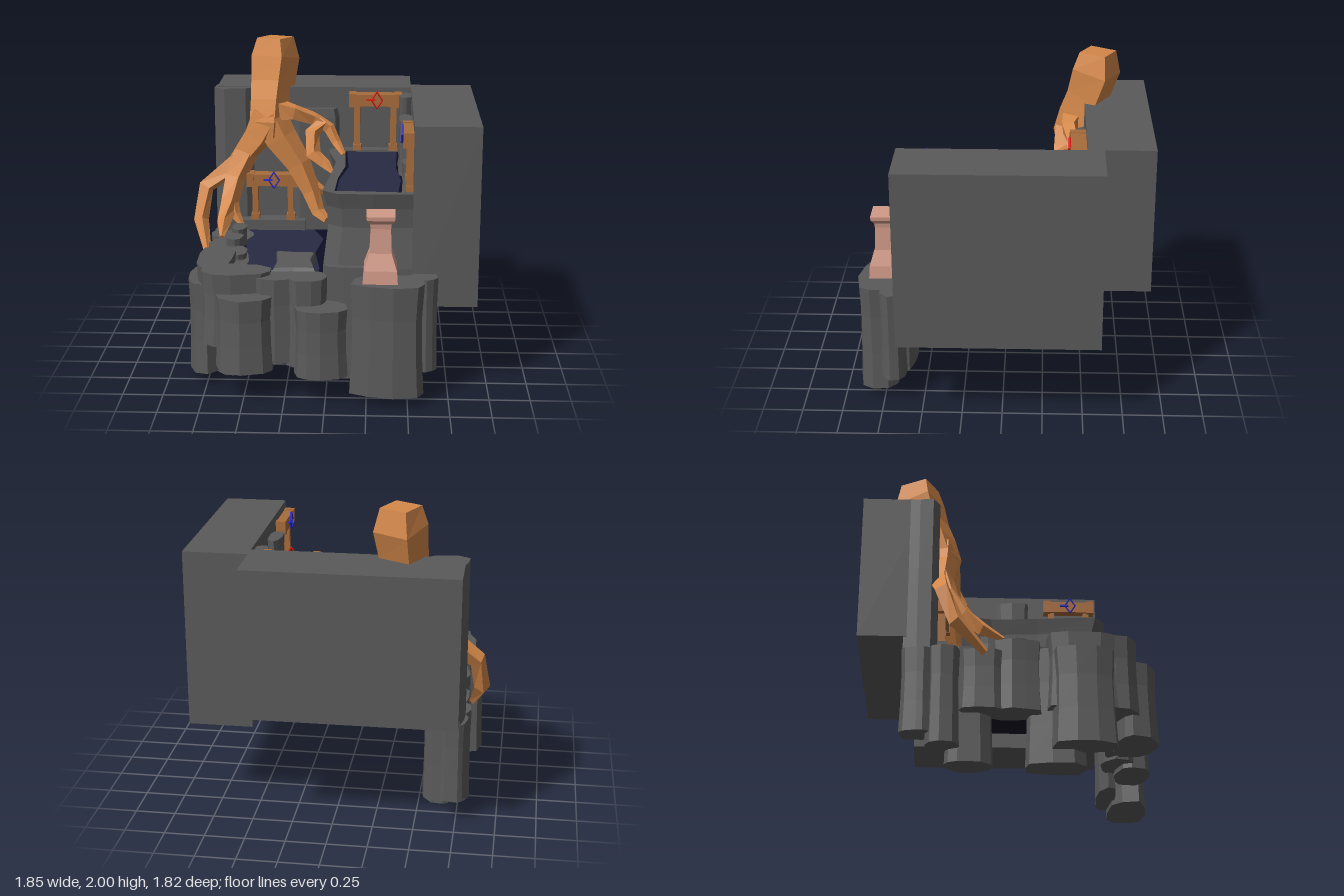
import * as THREE from 'three';

const paint = (color) => new THREE.MeshStandardMaterial({ color, flatShading: true });

// Skin a stack of equal-sized rings (bottom to top); closed rings get end caps
function loft(rings, closed = true) {
  const n = rings[0].length, pos = [], idx = [];
  const mid = (r) => r.reduce((s, p) => s.add(p), new THREE.Vector3()).divideScalar(n);
  const last = rings.length - 1;
  [...rings, [mid(rings[0])], [mid(rings[last])]].flat().forEach((p) => pos.push(p.x, p.y, p.z));
  const c0 = rings.length * n;
  for (let i = 0; i < (closed ? n : n - 1); i++) {
    const j = (i + 1) % n;
    for (let k = 0; k < last; k++) {
      const a = k * n + i, b = k * n + j;
      idx.push(a, a + n, b, a + n, b + n, b);
    }
    if (closed) idx.push(c0, i, j, c0 + 1, last * n + j, last * n + i);
  }
  const g = new THREE.BufferGeometry();
  g.setAttribute('position', new THREE.Float32BufferAttribute(pos, 3));
  g.setIndex(idx);
  const flat = g.toNonIndexed();
  flat.computeVertexNormals();
  return flat;
}

// Irregular rock column: rough squarish outline, slight waist
function rockGeometry(cx, cz, rx, rz, y0, y1, seed) {
  let s = seed * 7919 + 13;
  const rnd = () => (s = (s * 16807) % 2147483647) / 2147483647;
  for (let i = 0; i < 5; i++) rnd();
  const sides = 10;
  const soft = (v) => Math.sign(v) * Math.abs(v) ** 0.8;
  const outline = Array.from({ length: sides }, (_, i) => {
    const a = ((i + 0.6 * rnd()) / sides) * Math.PI * 2, r = 0.9 + 0.18 * rnd();
    return [soft(Math.cos(a)) * r, soft(Math.sin(a)) * r];
  });
  return loft([[0, 1.02], [0.35, 0.96], [0.7, 0.94], [1, 1]].map(([t, k]) =>
    outline.map(([x, z]) => new THREE.Vector3(cx + x * rx * k, y0 + (y1 - y0) * t, cz + z * rz * k))));
}

// Four-sided limb along points [x, y, z, radius]
function limbGeometry(points) {
  const p = points.map(([x, y, z]) => new THREE.Vector3(x, y, z));
  const ref = new THREE.Vector3(-0.45, 0, 0.89);
  return loft(p.map((c, i) => {
    const t = p[Math.min(i + 1, p.length - 1)].clone().sub(p[Math.max(i - 1, 0)]).normalize();
    const u = ref.clone().addScaledVector(t, -ref.dot(t)).normalize();
    const v = u.clone().cross(t);
    return [0, 1, 2, 3].map((k) => {
      const a = Math.PI / 4 + (k * Math.PI) / 2, r = points[i][3];
      return c.clone().addScaledVector(u, Math.cos(a) * r).addScaledVector(v, Math.sin(a) * r);
    });
  }));
}

// Level outline at height y, scaled about its own centre point
const level = (outline, y, k = 1, cx = 0, cz = 0) =>
  outline.map(([x, z]) => new THREE.Vector3(cx + (x - cx) * k, y, cz + (z - cz) * k));

export function createModel() {
  const root = new THREE.Group();
  root.name = 'rockPools';
  const stone = paint(0x5a5a5a), wood = paint(0xa86c3c), bark = paint(0xd4884a);
  const water = paint(0x282a43), depth = paint(0x0e0e24), pink = paint(0xd29b89);
  const red = paint(0xe01c14), blue = paint(0x2c2cd0);

  const add = (name, geometry, material, parent = root) => {
    const m = new THREE.Mesh(geometry, material);
    m.name = name;
    parent.add(m);
    return m;
  };
  // Box given by its limits
  const box = (name, x0, x1, y0, y1, z0, z1, material, parent) => {
    const g = new THREE.BoxGeometry(x1 - x0, y1 - y0, z1 - z0);
    g.translate((x0 + x1) / 2, (y0 + y1) / 2, (z0 + z1) / 2);
    return add(name, g, material, parent);
  };
  // Flat water surface from an outline of [x, z]
  const sheet = (name, outline, y, material) => {
    const g = new THREE.ShapeGeometry(new THREE.Shape(outline.map(([x, z]) => new THREE.Vector2(x, -z))));
    g.rotateX(-Math.PI / 2).translate(0, y, 0);
    add(name, g, material);
  };

  // Cliff blocks
  box('backCliff', -0.77, 0.52, 0.75, 1.68, -0.91, -0.5, stone);
  box('sideCliff', 0.52, 0.92, 0.56, 1.68, -0.6, 0.635, stone);
  box('cliffFoot', -0.62, 0.52, 0.64, 0.75, -0.53, -0.5, stone);

  // Rock faces standing out of the back cliff
  const corner = [[-0.52, -0.51], [-0.58, -0.455], [-0.72, -0.44], [-0.79, -0.48], [-0.785, -0.56], [-0.765, -0.64]];
  add('cornerRock', loft([level(corner, 0.66), level(corner, 1.2), level(corner, 1.675)]), stone);
  const bulge = [[0.05, -0.51], [0.02, -0.45], [-0.22, -0.44], [-0.27, -0.51]];
  add('bulgeRock', loft([level(bulge, 0.7), level(bulge, 1.48), level(bulge, 1.54, 0.9, -0.1, -0.51)]), stone);

  // Hanging rock columns: x, z, radius x, radius z, bottom, top
  [
    [-0.49, 0.74, 0.185, 0.125, 0.19, 0.66],
    [-0.03, 0.77, 0.165, 0.105, 0.17, 0.6],
    [0.38, 0.785, 0.23, 0.12, 0.07, 0.77],
    [0.59, 0.68, 0.085, 0.075, 0.18, 0.77],
    [-0.12, 0.67, 0.13, 0.1, 0.2, 0.76],
    [0.2, 0.63, 0.21, 0.06, 0.1, 0.82],
    [-0.55, 0.64, 0.22, 0.11, 0.32, 0.785],
    [-0.31, 0.67, 0.13, 0.09, 0.22, 0.76],
    [-0.61, 0.25, 0.11, 0.185, 0, 0.72],
    [-0.7, 0.4, 0.12, 0.21, 0.32, 0.785],
    [-0.765, 0.42, 0.095, 0.19, 0.08, 0.67],
    [-0.69, 0.02, 0.1, 0.16, 0.3, 0.74],
    [-0.62, -0.25, 0.1, 0.145, 0, 0.72],
    [-0.73, -0.18, 0.07, 0.13, 0.3, 0.67],
    [-0.74, -0.4, 0.09, 0.1, 0.08, 0.68],
    [-0.73, -0.55, 0.085, 0.1, 0.15, 0.67],
  ].forEach((r, i) => add('rockColumn', rockGeometry(...r, i + 1), stone));

  // Low rocks along the pool edges
  [
    [0.48, -0.4, 0.045, 0.09, 1.2, 1.65],
    [0.485, -0.18, 0.04, 0.12, 1.2, 1.45],
    [0.48, 0.06, 0.045, 0.12, 1.2, 1.6],
    [0.49, 0.22, 0.035, 0.08, 1.2, 1.36],
    [-0.6, -0.12, 0.05, 0.08, 0.66, 0.82],
    [-0.62, 0.03, 0.06, 0.07, 0.66, 0.8],
    [-0.58, 0.2, 0.06, 0.09, 0.66, 0.76],
  ].forEach((r, i) => add('edgeRock', rockGeometry(...r, i + 40), stone));

  // Lower pool
  box('lowerPoolBed', -0.62, 0.53, 0.66, 0.7, -0.5, 0.62, depth);
  sheet('lowerPool', [[-0.56, -0.4], [-0.12, -0.4], [-0.05, -0.2], [-0.09, 0.1], [-0.05, 0.4], [-0.07, 0.57], [-0.35, 0.55], [-0.57, 0.57], [-0.54, 0.2]], 0.715, water);
  box('gateLedge', -0.64, -0.18, 0.69, 0.785, -0.5, -0.38, stone);
  const slab = [[-0.07, 0.59], [-0.2, 0.59], [-0.33, 0.6], [-0.31, 0.42], [-0.33, 0.25], [-0.2, 0.27], [-0.08, 0.27], [-0.1, 0.42]];
  add('poolStone', loft([[0.55, 0.85], [0.72, 1], [0.76, 1], [0.78, 0.93]].map(([y, k]) => level(slab, y, k, -0.2, 0.42))), stone);

  // Upper pool: open wall that leans out to a lip, raised rim and water
  const wall = [[0.52, 0.63], [0.28, 0.64], [0.08, 0.63], [-0.01, 0.56], [0.03, 0.2], [0.05, -0.1], [0, -0.35], [-0.01, -0.5]];
  const wallRing = (y, out) => wall.map(([x, z]) =>
    new THREE.Vector3(x < 0.2 ? x - out : x, y, z > 0.5 ? z + out : z));
  add('upperWall', loft([wallRing(0.69, 0.01), wallRing(0.8, 0.01), wallRing(1.05, -0.02), wallRing(1.17, -0.01), wallRing(1.27, 0.015)], false), stone);
  const rim = new THREE.Shape([...wallRing(0, 0.015).map((p) => new THREE.Vector2(p.x, -p.z)), new THREE.Vector2(0.52, 0.5)]);
  rim.holes.push(new THREE.Path([[0.05, -0.58], [0.06, -0.3], [0.1, 0], [0.09, 0.42], [0.45, 0.42], [0.43, 0.05], [0.46, -0.3], [0.45, -0.6]]
    .map(([x, y]) => new THREE.Vector2(x, y))));
  add('upperRim', new THREE.ShapeGeometry(rim).rotateX(-Math.PI / 2).translate(0, 1.27, 0), stone);
  sheet('upperPoolBed', [[0.03, -0.45], [0.48, -0.45], [0.48, 0.61], [0.03, 0.61]], 1.25, depth);
  sheet('upperPool', [[0.1, -0.4], [0.43, -0.4], [0.42, 0], [0.45, 0.3], [0.43, 0.58], [0.25, 0.57], [0.06, 0.56], [0.07, 0.3], [0.12, 0]], 1.262, water);

  // Tree trunk and roots: x, y, z, radius
  const tree = new THREE.Group();
  tree.name = 'tree';
  root.add(tree);
  const limbs = {
    trunk: [[-0.42, 1.36, -0.42, 0.1], [-0.42, 1.45, -0.43, 0.135], [-0.41, 1.58, -0.47, 0.14],
      [-0.4, 1.7, -0.525, 0.15], [-0.385, 1.87, -0.575, 0.165], [-0.385, 2, -0.58, 0.125]],
    leftRoot: [[-0.42, 1.5, -0.43, 0.12], [-0.5, 1.35, -0.43, 0.1], [-0.64, 1.17, -0.44, 0.075],
      [-0.85, 1.01, -0.41, 0.055], [-0.88, 0.8, -0.33, 0.05], [-0.82, 0.63, -0.16, 0.025]],
    middleRoot: [[-0.58, 1.24, -0.43, 0.085], [-0.65, 1.08, -0.38, 0.07], [-0.68, 0.93, -0.28, 0.06],
      [-0.71, 0.83, -0.17, 0.045], [-0.71, 0.77, -0.05, 0.015]],
    middleRootFork: [[-0.67, 0.96, -0.3, 0.045], [-0.64, 0.86, -0.26, 0.035], [-0.59, 0.79, -0.22, 0.015]],
    rightRoot: [[-0.42, 1.5, -0.43, 0.12], [-0.34, 1.35, -0.41, 0.11], [-0.22, 1.18, -0.38, 0.085],
      [-0.14, 1.0, -0.35, 0.06], [-0.09, 0.87, -0.31, 0.045], [-0.03, 0.83, -0.25, 0.025]],
    rightRootFork: [[-0.21, 1.16, -0.38, 0.06], [-0.12, 1.02, -0.4, 0.045], [-0.04, 0.98, -0.4, 0.02]],
    upperRoot: [[-0.38, 1.54, -0.43, 0.09], [-0.25, 1.53, -0.4, 0.055], [-0.12, 1.48, -0.43, 0.045],
      [-0.02, 1.42, -0.42, 0.04], [0.03, 1.33, -0.38, 0.03], [0.08, 1.27, -0.29, 0.015]],
    curledRoot: [[-0.06, 1.46, -0.42, 0.04], [-0.13, 1.4, -0.36, 0.05], [-0.12, 1.27, -0.3, 0.05],
      [-0.04, 1.22, -0.24, 0.035], [0.01, 1.18, -0.17, 0.012]],
  };
  for (const [name, points] of Object.entries(limbs)) add(name, limbGeometry(points), bark, tree);

  // Wooden gate with a diamond ornament, facing +z, standing at its own origin
  function gate(name, postHeight, ornament) {
    const g = new THREE.Group();
    g.name = name;
    for (const s of [-1, 1]) {
      box('post', s * 0.12 - 0.02, s * 0.12 + 0.02, 0, postHeight + 0.01, -0.025, 0.025, wood, g);
      box('postFoot', s * 0.12 - 0.028, s * 0.12 + 0.028, 0, 0.04, -0.03, 0.03, wood, g);
      box('beamEnd', s * 0.15 - 0.024, s * 0.15 + 0.024, postHeight - 0.006, postHeight + 0.084, -0.055, 0.05, wood, g);
    }
    box('beam', -0.17, 0.17, postHeight, postHeight + 0.078, -0.05, 0.045, wood, g);
    const ring = new THREE.TorusGeometry(0.05, 0.008, 4, 4);
    ring.scale(0.72, 1.1, 1).translate(0.01, postHeight + 0.045, 0.055);
    add('diamond', ring, ornament, g);
    box('pin', -0.06, 0, postHeight + 0.04, postHeight + 0.05, 0.045, 0.06, ornament, g);
    root.add(g);
    return g;
  }
  gate('lowerGate', 0.24, blue).position.set(-0.4, 0.785, -0.42);
  gate('backGate', 0.305, red).position.set(0.285, 1.265, -0.45);
  const sideGate = gate('sideGate', 0.285, blue);
  sideGate.position.set(0.505, 1.265, 0.445);
  sideGate.rotation.y = -Math.PI / 2;

  // Square pedestal with a flared foot and cap
  const profile = [[0, 0], [0.104, 0], [0.098, 0.08], [0.085, 0.12], [0.066, 0.18], [0.06, 0.33], [0.064, 0.36], [0.082, 0.385], [0.085, 0.41], [0, 0.41]];
  const pedestal = new THREE.LatheGeometry(profile.map(([r, y]) => new THREE.Vector2(r * Math.SQRT2, y)), 4);
  pedestal.rotateY(Math.PI / 4).translate(0.328, 0.77, 0.735);
  add('pedestal', pedestal, pink);

  return root;
}
